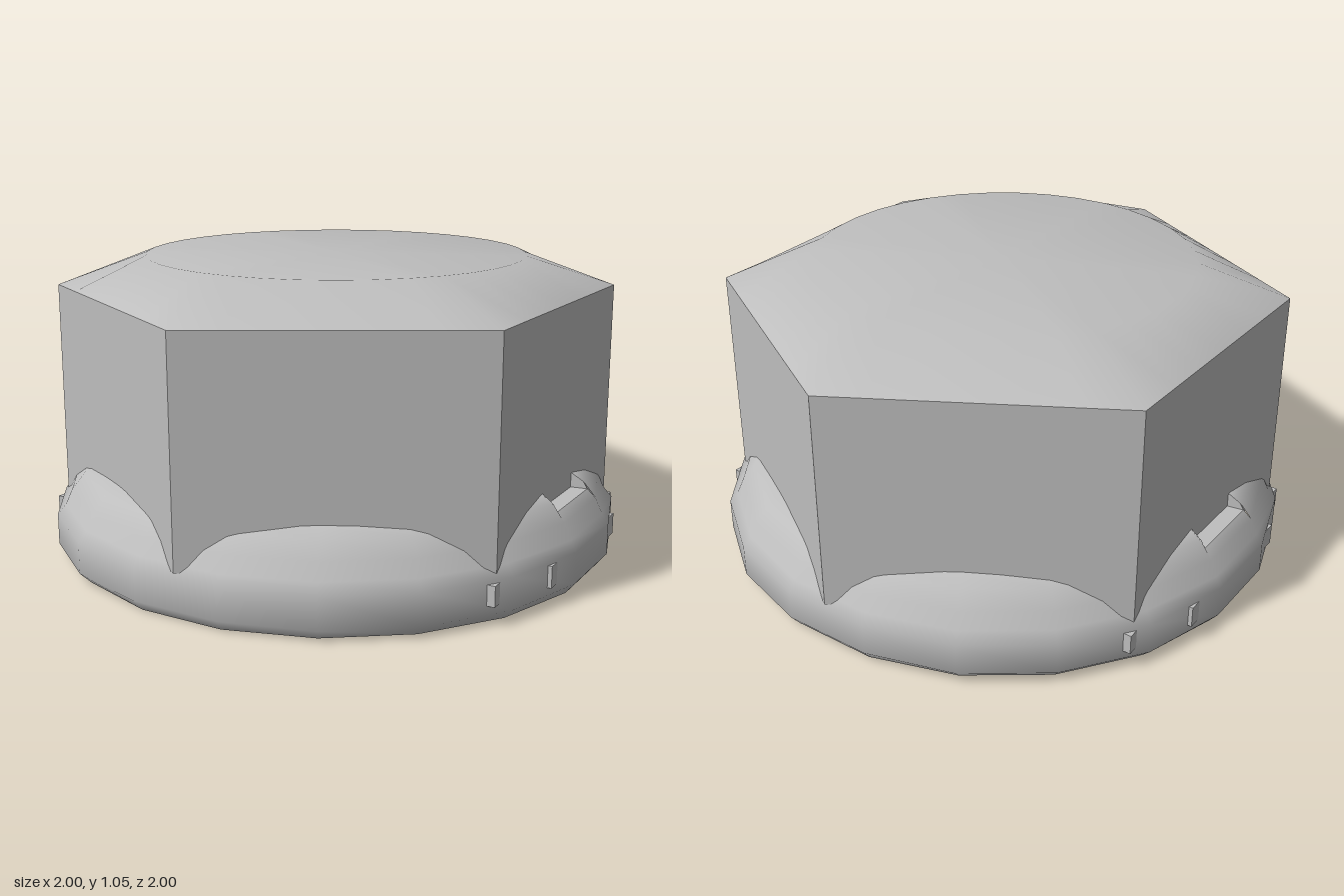
import * as THREE from 'three';

const steel = new THREE.MeshStandardMaterial({ color: 0xbebebe });
steel.name = 'steel';
const R = 1.02;               // flange corner radius
const STEP = Math.PI / 10;    // twenty-sided flange

function add(group, name, geometry) {
  const mesh = new THREE.Mesh(geometry, steel);
  mesh.name = name;
  group.add(mesh);
  return mesh;
}

// Keep the flange sides flat where they meet the axes
function clampSides(geometry) {
  const p = geometry.attributes.position;
  for (let i = 0; i < p.count; i++) {
    p.setX(i, THREE.MathUtils.clamp(p.getX(i), -1, 1));
    p.setZ(i, THREE.MathUtils.clamp(p.getZ(i), -1, 1));
  }
  return geometry;
}

const toPoints = (list) => list.map(([x, y]) => new THREE.Vector2(x, y));

// Crown: a hexagonal rim rising to a circular, smoothly shaded top
function crownGeometry() {
  const n = 36, pos = [0, 1.05, 0], index = [];
  for (let i = 0; i < n; i++) {
    const a = (i / n) * Math.PI * 2;
    const local = (a % (Math.PI / 3)) - Math.PI / 6;
    const hex = Math.cos(Math.PI / 6) / Math.cos(local);
    pos.push(Math.sin(a) * 0.675, 1.05, Math.cos(a) * 0.675);
    pos.push(Math.sin(a) * hex, 0.93, Math.cos(a) * hex);
  }
  for (let i = 0; i < n; i++) {
    const j = (i + 1) % n;
    const a = 1 + 2 * i, b = 1 + 2 * j;
    index.push(0, a, b, a, a + 1, b + 1, a, b + 1, b);
  }
  const g = new THREE.BufferGeometry();
  g.setAttribute('position', new THREE.Float32BufferAttribute(pos, 3));
  g.setIndex(index);
  g.computeVertexNormals();
  return g;
}

export function createModel() {
  const model = new THREE.Group();
  model.name = 'flangedHexHead';

  // Hexagonal body with sharp edges, corners on the z axis
  const walls = new THREE.CylinderGeometry(1, 1, 0.765, 6, 1, true).toNonIndexed();
  walls.computeVertexNormals();
  add(model, 'hexBody', walls).position.y = 0.5475;
  add(model, 'crown', crownGeometry());

  // Domed flange, in two arcs with a notched segment on each side
  const lower = [[0.98, 0], [R, 0.04], [R, 0.15], [0.99, 0.185], [0.965, 0.24]];
  const full = toPoints([...lower, [0.92, 0.295], [0.88, 0.32], [0.8, 0.335]]);
  const cut = toPoints([...lower, [0.935, 0.27]]);
  const shelf = toPoints([[0.935, 0.27], [0.8, 0.27]]);
  const notchEnd = new THREE.Shape(toPoints(
    [[0.8, 0.27], [0.935, 0.27], [0.92, 0.295], [0.88, 0.32], [0.8, 0.335]]));

  for (const side of [0, Math.PI]) {
    const start = side + STEP * 4.5;
    add(model, 'flangeArc', clampSides(new THREE.LatheGeometry(full, 9, start + STEP, STEP * 9)));
    add(model, 'notchedFlange', clampSides(new THREE.LatheGeometry(cut, 1, start, STEP)));
    add(model, 'notchFloor', new THREE.LatheGeometry(shelf, 1, start, STEP));

    // Thin end walls of the notch, facing into it
    for (const end of [0, 1]) {
      const g = new THREE.ExtrudeGeometry(notchEnd, { depth: 0.004, bevelEnabled: false });
      g.translate(0, 0, -0.002);
      add(model, 'notchWall', g).rotation.y = start + end * STEP - Math.PI / 2;
    }

    // Shallow side bar and small corner nubs
    const s = side ? -1 : 1;
    add(model, 'sideBar', new THREE.BoxGeometry(0.1, 0.075, 0.6)).position.set(s * 0.922, 0.105, 0);
    for (const z of [-0.515, 0.515]) {
      add(model, 'cornerNub', new THREE.BoxGeometry(0.06, 0.07, 0.05)).position.set(s * 0.85, 0.105, z);
    }
  }

  // Flat underside
  const base = new THREE.CircleGeometry(0.98, 20, STEP / 2);
  base.rotateX(Math.PI / 2);
  add(model, 'underside', base);

  return model;
}
